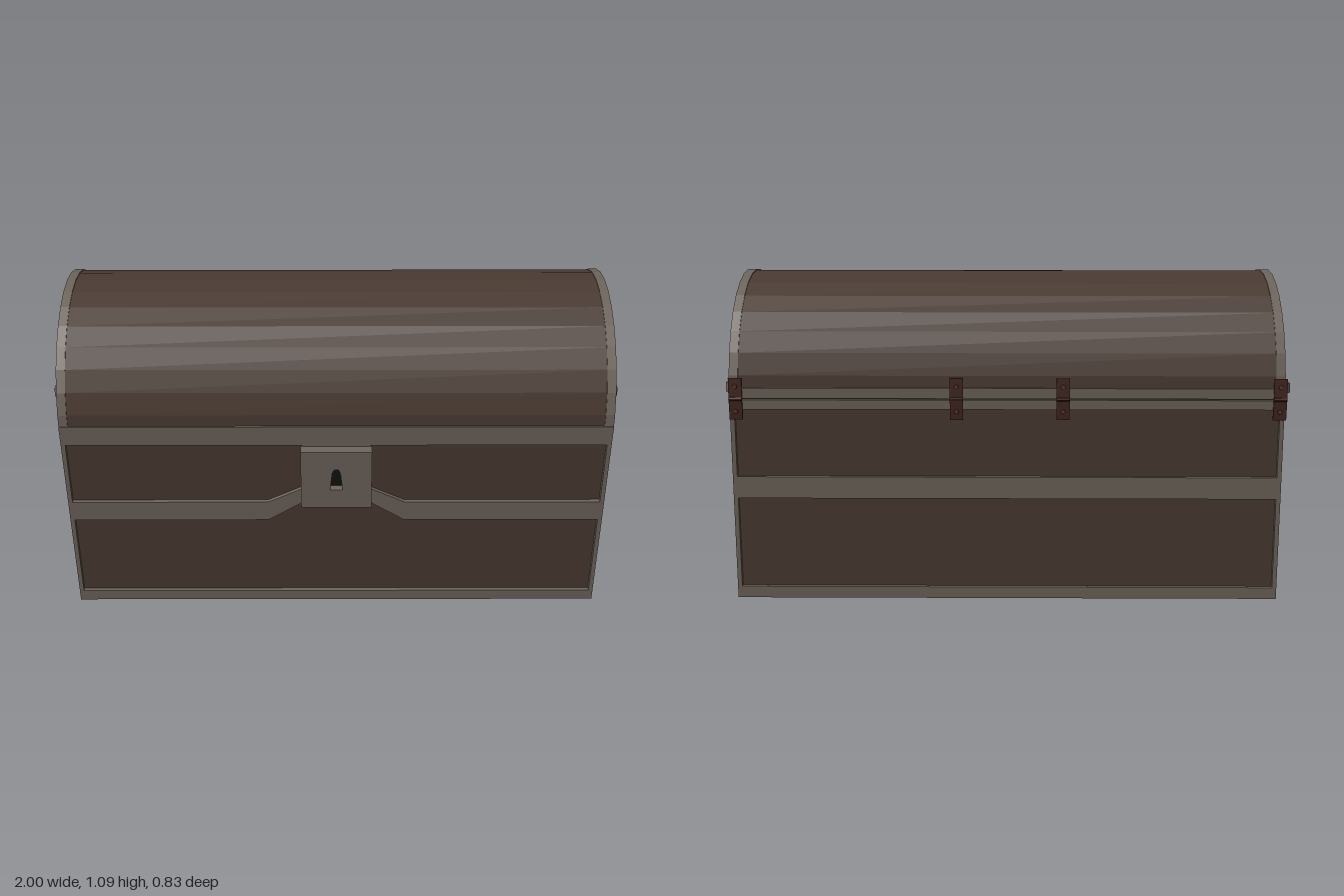
import * as THREE from 'three';

const mat = (color) => new THREE.MeshStandardMaterial({ color, flatShading: true });

export function createModel() {
  const model = new THREE.Group();
  model.name = 'chest';
  const wood = mat(0x4a3b32), metal = mat(0x6e655c), rust = mat(0x43271f), dark = mat(0x121110);

  // half width, half depth, lid spring height, frame thickness
  const W = 0.925, D = 0.39, H = 0.7, T = 0.015;
  const body = new THREE.Group();
  body.name = 'body';
  body.position.z = -0.01;
  model.add(body);

  const add = (name, geo, material, x = 0, y = 0, z = 0, parent = body) => {
    const m = new THREE.Mesh(geo, material);
    m.name = name;
    m.position.set(x, y, z);
    parent.add(m);
    return m;
  };
  const poly = (pts) => pts.map(([x, y]) => new THREE.Vector2(x, y));
  const rect = (x0, y0, x1, y1) => [[x0, y0], [x1, y0], [x1, y1], [x0, y1]];
  const flip = (pts) => pts.map(([x, y]) => [-x, y]).reverse();
  const extrude = (shape, depth) =>
    new THREE.ExtrudeGeometry(shape, { depth, bevelEnabled: false, curveSegments: 8 });
  const frame = (outline, holes, depth) => {
    const s = new THREE.Shape(poly(outline));
    holes.forEach((h) => s.holes.push(new THREE.Path(poly(h))));
    return extrude(s, depth);
  };

  // wooden core
  add('woodBox', new THREE.BoxGeometry(2 * (W - T), H, 2 * (D - T)), wood, 0, H / 2, 0);

  // front frame: middle band rises to meet the lock
  const p = W - T;
  const lower = [[-p, 0.04], [p, 0.04], [p, 0.355], [0.235, 0.355],
    [0.115, 0.43], [-0.115, 0.43], [-0.235, 0.355], [-p, 0.355]];
  const upper = [[0.115, 0.487], [0.235, 0.43], [p, 0.43], [p, 0.663], [0.115, 0.663]];
  add('frontFrame', frame(rect(-W, 0, W, H), [lower, upper, flip(upper)], T), metal, 0, 0, D - T);

  // back frame, stopping just short of the lid seam
  add('backFrame', frame(rect(-W, 0, W, H - 0.005),
    [rect(-p, 0.04, p, 0.355), rect(-p, 0.43, p, 0.663)], T), metal, 0, 0, -D);

  // lid barrel
  const dome = new THREE.Shape();
  dome.absarc(0, H, D - 0.003, 0, Math.PI);
  add('lidBarrel', extrude(dome, 2 * p).rotateY(Math.PI / 2), wood, -p, 0, 0);

  // lid bands along front and back
  for (const s of [1, -1]) {
    add(s > 0 ? 'lidFrontBand' : 'lidBackBand',
      new THREE.BoxGeometry(2 * W, 0.035, T), metal, 0, H + 0.0175, s * (D - T / 2));
  }

  // end frames, arched lid rims and handles
  const q = D - 0.017;
  const rim = new THREE.Shape();
  rim.absarc(0, H, D, 0, Math.PI);
  const arch = new THREE.Path();
  const a = Math.asin(0.035 / 0.355);
  arch.absarc(0, H, 0.355, a, Math.PI - a);
  rim.holes.push(arch);
  const grip = [[0.92, -0.15], [0.945, -0.15], [1, -0.115], [1, 0.065], [0.945, 0.1], [0.92, 0.1],
    [0.92, 0.083], [0.94, 0.083], [0.985, 0.055], [0.985, -0.105], [0.94, -0.133], [0.92, -0.133]];
  for (const s of [1, -1]) {
    const side = s > 0 ? 'left' : 'right';
    const turn = s * Math.PI / 2;
    add(side + 'EndFrame', frame(rect(-D, 0, D, H),
      [rect(-q, 0.04, q, 0.355), rect(-q, 0.43, q, 0.663)], T).rotateY(turn), metal, s * (W - T));
    add(side + 'LidRim', extrude(rim, 0.03).rotateY(turn), metal, s * (W - 0.03));
    // plan outline laid flat, turned over for the other end
    const h = frame(grip.map(([x, z]) => [x, -z]), [], 0.034);
    h.translate(0, 0, -0.017).rotateX(-Math.PI / 2);
    if (s < 0) h.rotateZ(Math.PI);
    add(side + 'Handle', h, metal, 0, 0.683, 0, model);
  }

  // lock plate with a keyhole cut through it
  const key = [[-0.021, 0.505], [0.021, 0.505], [0.014, 0.572], [0.007, 0.587], [-0.007, 0.587], [-0.014, 0.572]];
  add('lockPlate', frame(rect(-0.12, 0.432, 0.12, 0.658), [key], 0.04), metal, 0, 0, 0.375, model);
  add('keyholeBack', new THREE.BoxGeometry(0.06, 0.1, 0.004), dark, 0, 0.546, 0.386, model);

  // hinges across the back seam: two leaves, a knuckle and rivets
  for (const x of [-0.908, -0.188, 0.167, 0.903]) {
    const hinge = new THREE.Group();
    hinge.name = 'hinge';
    hinge.position.set(x, H, -0.404);
    model.add(hinge);
    for (const s of [1, -1]) {
      const leaf = add('hingeLeaf', new THREE.BoxGeometry(0.044, 0.07, 0.006), rust, 0, s * 0.035, -0.002, hinge);
      leaf.rotation.x = s * 0.05;
      add('rivet', new THREE.CylinderGeometry(0.007, 0.009, 0.006, 8).rotateX(-Math.PI / 2),
        metal === null ? rust : mat(0x5a3a30), 0, s * 0.042, -0.006, hinge);
    }
    add('hingeKnuckle', new THREE.CylinderGeometry(0.007, 0.007, 0.044, 8).rotateZ(Math.PI / 2),
      rust, 0, 0, -0.004, hinge);
  }
  return model;
}
